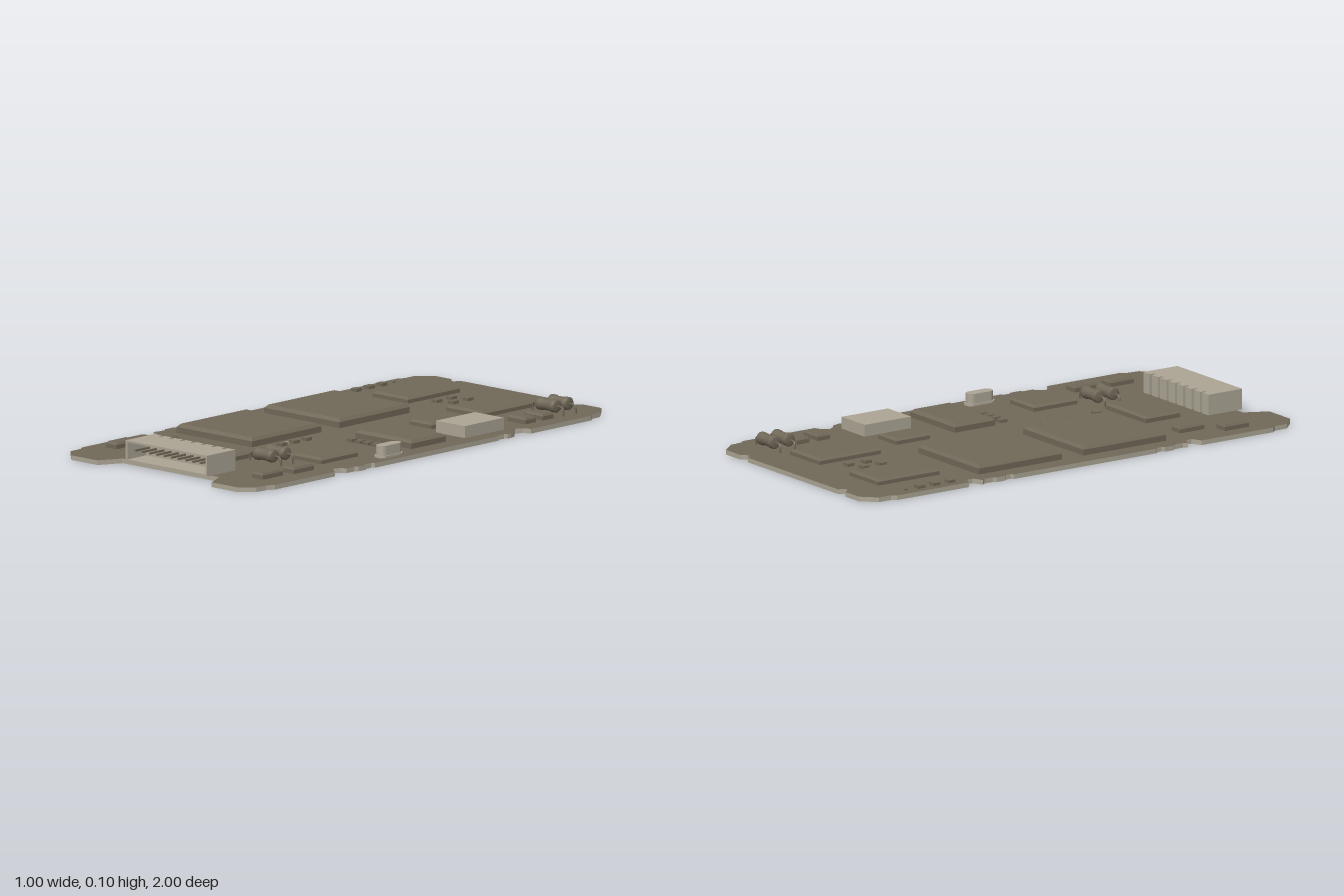
import * as THREE from 'three';

const boardMat = new THREE.MeshStandardMaterial({ color: 0x706858 });
boardMat.name = 'taupe';
const paleMat = new THREE.MeshStandardMaterial({ color: 0xaca595 });
paleMat.name = 'pale stone';

const T = 0.018; // board thickness

export function createModel() {
  const model = new THREE.Group();
  model.name = 'circuitBoard';

  const add = (name, geo, mat, x = 0, y = 0, z = 0) => {
    const m = new THREE.Mesh(geo, mat);
    m.name = name;
    m.position.set(x, y, z);
    model.add(m);
    return m;
  };
  // Block given by its x and z ranges, standing on the board
  const block = (name, x0, x1, z0, z1, top, mat = boardMat) =>
    add(name, new THREE.BoxGeometry(x1 - x0, top - T, z1 - z0), mat,
      (x0 + x1) / 2, (top + T) / 2, (z0 + z1) / 2);
  // Block with a straight lower wall and sloped upper edges
  const chip = (name, x0, x1, z0, z1, top, inset = 0.012, mat = boardMat) => {
    const w = x1 - x0, d = z1 - z0, h = top - T;
    const g = new THREE.BoxGeometry(w, h, d, 1, 2, 1).toNonIndexed();
    const p = g.attributes.position;
    for (let i = 0; i < p.count; i++) {
      const y = p.getY(i);
      if (Math.abs(y) < 1e-6) p.setY(i, h * 0.15);
      else if (y > 0) {
        p.setX(i, p.getX(i) * (1 - 2 * inset / w));
        p.setZ(i, p.getZ(i) * (1 - 2 * inset / d));
      }
    }
    g.computeVertexNormals();
    return add(name, g, mat, (x0 + x1) / 2, (top + T) / 2, (z0 + z1) / 2);
  };

  // Board outline in x, z, with edge notches and a recess at the front
  const outline = [
    [-0.43, 1], [-0.295, 1], [-0.25, 0.91], [0.25, 0.91], [0.295, 1], [0.43, 1],
    [0.48, 0.95], [0.485, 0.9], [0.5, 0.87],
    [0.5, 0.54], [0.47, 0.525], [0.455, 0.5], [0.47, 0.475], [0.49, 0.465], [0.49, 0.42], [0.5, 0.41],
    [0.5, 0.37], [0.49, 0.36], [0.49, 0.33], [0.5, 0.32],
    [0.5, -0.36], [0.49, -0.37], [0.49, -0.4], [0.5, -0.41], [0.5, -0.43], [0.49, -0.46],
    [0.47, -0.475], [0.455, -0.5], [0.47, -0.525], [0.5, -0.54],
    [0.5, -0.87], [0.485, -0.89], [0.48, -0.94], [0.43, -1],
    [0.335, -1], [0.32, -0.98], [0.305, -0.98], [0.285, -1],
    [-0.295, -1], [-0.31, -0.975], [-0.325, -0.975], [-0.345, -1],
    [-0.43, -1], [-0.485, -0.945], [-0.485, -0.89], [-0.5, -0.87],
    [-0.5, -0.54], [-0.46, -0.52], [-0.46, -0.495], [-0.5, -0.475],
    [-0.49, -0.46], [-0.49, -0.42], [-0.5, -0.41], [-0.5, -0.37], [-0.49, -0.36], [-0.49, -0.34], [-0.5, -0.33],
    [-0.5, 0.33], [-0.49, 0.34], [-0.49, 0.36], [-0.5, 0.37], [-0.5, 0.41], [-0.49, 0.42], [-0.49, 0.46],
    [-0.5, 0.475], [-0.46, 0.495], [-0.46, 0.52], [-0.5, 0.54],
    [-0.5, 0.87], [-0.485, 0.89], [-0.485, 0.945],
  ];
  const shape = new THREE.Shape(outline.map(([x, z]) => new THREE.Vector2(x, -z)));
  const boardGeo = new THREE.ExtrudeGeometry(shape, { depth: T, bevelEnabled: false });
  boardGeo.rotateX(-Math.PI / 2);
  add('board', boardGeo, [boardMat, paleMat]);

  // Large chips
  [
    [-0.34, -0.155, -0.845, -0.56, 0.04],
    [0.04, 0.23, -0.845, -0.56, 0.04],
    [-0.425, -0.035, -0.44, -0.055, 0.053],
    [-0.425, -0.035, 0.045, 0.427, 0.053],
    [0.115, 0.23, -0.435, -0.28, 0.04],
    [0.135, 0.425, -0.15, 0.038, 0.05],
    [0.215, 0.37, 0.275, 0.475, 0.04],
    [-0.17, 0.092, 0.517, 0.675, 0.043],
  ].forEach((c) => chip('chip', ...c));

  // Small packages near the front corners and rear right
  [
    [-0.367, -0.312, 0.535, 0.648],
    [-0.437, -0.382, 0.692, 0.803],
    [0.36, 0.418, 0.568, 0.677],
    [0.347, 0.403, 0.723, 0.833],
    [0.335, 0.428, -0.738, -0.68],
    [0.335, 0.428, -0.642, -0.585],
  ].forEach((c) => chip('smallPackage', ...c, 0.042, 0.006));

  // Tiny surface components
  [
    [-0.455, -0.735], [-0.455, -0.665], [-0.455, -0.595],
    [-0.095, -0.735], [-0.095, -0.655], [-0.033, -0.76], [-0.033, -0.68],
    [0.165, 0.09], [0.21, 0.09], [0.25, 0.09], [0.293, 0.09],
    [0.025, 0.19], [0.025, 0.257], [0.025, 0.325], [0.052, 0.447],
  ].forEach(([x, z]) => block('resistor', x - 0.014, x + 0.014, z - 0.016, z + 0.016, 0.03));
  block('tinyPart', -0.459, -0.451, -0.805, -0.795, 0.024);
  block('tinyPart', 0.02, 0.03, 0.38, 0.4, 0.024);
  block('tinyPart', 0.01, 0.022, 0.282, 0.295, 0.026, paleMat);

  // Axial parts: barrel with end bands and bent leads
  const axial = (x, z) => {
    const g = new THREE.Group();
    g.name = 'axialPart';
    g.position.set(x, 0.051, z);
    const profile = [[0, -0.05], [0.02, -0.05], [0.025, -0.044], [0.025, -0.025], [0.022, -0.02],
      [0.022, 0.02], [0.025, 0.025], [0.025, 0.044], [0.02, 0.05], [0, 0.05]];
    const barrel = new THREE.Mesh(
      new THREE.LatheGeometry(profile.map(([r, y]) => new THREE.Vector2(r, y)), 16), boardMat);
    barrel.name = 'barrel';
    barrel.rotation.z = Math.PI / 2;
    g.add(barrel);
    for (const s of [-1, 1]) {
      const path = new THREE.CatmullRomCurve3([
        new THREE.Vector3(s * 0.045, 0, 0), new THREE.Vector3(s * 0.068, 0, 0),
        new THREE.Vector3(s * 0.078, -0.008, 0), new THREE.Vector3(s * 0.08, -0.035, 0)]);
      const lead = new THREE.Mesh(new THREE.TubeGeometry(path, 8, 0.004, 6), boardMat);
      lead.name = 'lead';
      g.add(lead);
    }
    model.add(g);
  };
  [[0.2, 0.535], [0.2, 0.603], [0.35, -0.86], [0.35, -0.793]].forEach(([x, z]) => axial(x, z));

  // Pale relay block
  block('relay', 0.285, 0.434, -0.46, -0.245, 0.064, paleMat);

  // Pale oval crystal on a slim flange
  const oval = (name, w, l, y0, y1) => {
    const r = w / 2, s = new THREE.Shape();
    s.absarc(0, l / 2 - r, r, 0, Math.PI);
    s.absarc(0, r - l / 2, r, Math.PI, Math.PI * 2);
    const g = new THREE.ExtrudeGeometry(s, { depth: y1 - y0, bevelEnabled: false, curveSegments: 8 });
    g.rotateX(-Math.PI / 2);
    add(name, g, paleMat, 0.442, y0, 0.183);
  };
  oval('crystalFlange', 0.056, 0.13, T, 0.026);
  oval('crystalCan', 0.046, 0.116, 0.026, 0.064);

  // Front connector: open shell, back wall, rear ribs and pins
  const rect = (Type, w, y0, y1) => new Type([[-w, y0], [w, y0], [w, y1], [-w, y1]]
    .map(([x, y]) => new THREE.Vector2(x, y)));
  const shell = rect(THREE.Shape, 0.21, T, 0.098);
  shell.holes.push(rect(THREE.Path, 0.202, 0.025, 0.091));
  add('connectorShell', new THREE.ExtrudeGeometry(shell, { depth: 0.135, bevelEnabled: false }),
    paleMat, 0, 0, 0.8);
  add('connectorBackWall', new THREE.BoxGeometry(0.41, 0.07, 0.03), paleMat, 0, 0.058, 0.816);
  for (let i = 0; i < 8; i++) {
    const x = -0.19 + i * 0.38 / 7;
    block('connectorRib', x - 0.02, x + 0.02, 0.778, 0.802, 0.098, paleMat);
  }
  for (let i = 0; i < 11; i++) {
    const x = (i - 5) * 0.0374;
    add('connectorPin', new THREE.BoxGeometry(0.008, 0.007, 0.08), boardMat, x, 0.057, 0.868);
  }
  return model;
}
